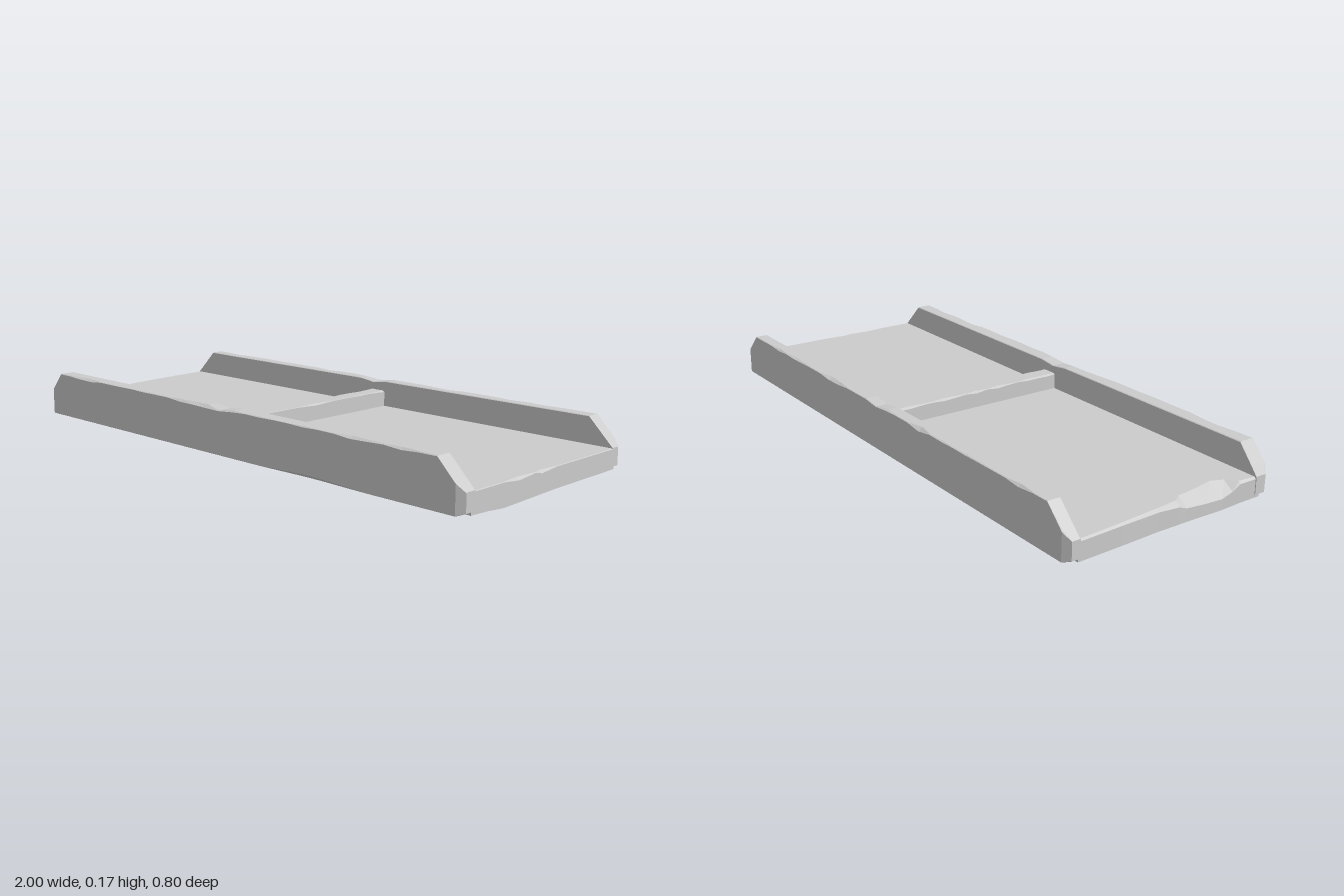
import * as THREE from 'three';

const material = new THREE.MeshStandardMaterial({ color: 0xcccccc, flatShading: true });

// Small seeded generator for the chipped edges
function seeded(seed) {
  return () => {
    seed = (seed * 16807) % 2147483647;
    return seed / 2147483647;
  };
}

// Closed solid through a row of equal-count cross-sections ([x, y, z] corners)
function loft(name, sections) {
  const n = sections[0].length;
  const tris = [];
  for (let i = 0; i < sections.length - 1; i++) {
    const a = sections[i], b = sections[i + 1];
    for (let j = 0; j < n; j++) {
      const k = (j + 1) % n;
      tris.push([a[j], b[j], b[k]], [a[j], b[k], a[k]]);
    }
  }
  const first = sections[0], last = sections[sections.length - 1];
  for (let j = 1; j < n - 1; j++) {
    tris.push([first[0], first[j], first[j + 1]], [last[0], last[j + 1], last[j]]);
  }
  // Turn the faces outward if the solid came out inside out
  const v = (p) => new THREE.Vector3(...p);
  const volume = tris.reduce((s, [a, b, c]) => s + v(a).dot(v(b).cross(v(c))), 0);
  if (volume < 0) tris.forEach((t) => t.reverse());
  const geometry = new THREE.BufferGeometry();
  geometry.setAttribute('position', new THREE.Float32BufferAttribute(tris.flat(2), 3));
  geometry.computeVertexNormals();
  const mesh = new THREE.Mesh(geometry, material);
  mesh.name = name;
  return mesh;
}

// Side wall: sloped ends, trimmed corners and a chipped outer top edge
function sideWall(name, side, inner, outer, startX, seed) {
  const random = seeded(seed);
  const stations = [-1, -0.975, -0.91];
  for (let i = 1; i < 28; i++) stations.push(-0.91 + (i * 1.82) / 28);
  stations.push(0.91, 0.975, 1);
  const sections = stations.map((x) => {
    const end = Math.abs(x);
    const middle = end < 0.9;
    const notch = Math.abs(x) < 0.04 ? 0.008 : 0;
    const top = Math.min(0.167, 0.078 + (1 - end) * 0.99) - notch;
    const out = end > 0.99 ? outer - 0.016 : outer;
    const bottom = end > 0.99 ? 0.018 : 0.009;
    const chip = middle && random() > 0.45 ? 0.004 + random() * 0.014 : 0.003;
    const drop = chip * (0.3 + random() * 0.4);
    // Shallow break along the lower front edge
    const lower = side > 0 && x > 0.2 && x < 0.6 ? 0.01 * (1 - Math.abs(x - 0.42) / 0.25) : 0.001;
    const px = x < -0.9 ? Math.max(x, startX + (x + 1) * 0.8) : x;
    return [
      [px, bottom, side * inner],
      [px, top - 0.002, side * inner],
      [px, top, side * (inner + 0.003)],
      [px, top, side * (out - chip)],
      [px, top - drop, side * out],
      [px, bottom + lower, side * out],
      [px, bottom, side * (out - lower)],
    ];
  });
  return loft(name, sections);
}

// Floor slab, one station per row: z, upper edge x, lip x, lip y, bottom y
function floorSlab() {
  const rows = [
    [-0.36, -0.995, -1.0, 0.070, 0.009],
    [-0.20, -0.985, -0.993, 0.070, 0.008],
    [-0.05, -0.973, -0.985, 0.068, 0.007],
    [0.03, -0.965, -0.982, 0.060, 0.005],
    [0.06, -0.945, -0.980, 0.048, 0.004],
    [0.14, -0.935, -0.978, 0.040, 0.002],
    [0.21, -0.922, -0.976, 0.036, 0.000],
    [0.25, -0.940, -0.978, 0.050, 0.003],
    [0.28, -0.972, -0.980, 0.068, 0.006],
    [0.36, -0.978, -0.983, 0.070, 0.009],
  ];
  return loft('floorSlab', rows.map(([z, topX, lipX, lipY, bottom], i) => {
    const chip = i > 1 && i < 7 && i % 2 ? 0.009 : 0.002;
    return [
      [lipX, bottom, z],
      [lipX, lipY, z],
      [topX, 0.076, z],
      [1 - chip, 0.076, z],
      [1, 0.076 - chip, z],
      [1, bottom, z],
    ];
  }));
}

// Low divider across the middle, with worn upper edges
function crossbar() {
  const random = seeded(91);
  const sections = [];
  for (let i = 0; i <= 16; i++) {
    const z = -0.36 + (i * 0.72) / 16;
    const a = random() > 0.5 ? 0.003 + random() * 0.009 : 0.002;
    const b = random() > 0.6 ? 0.003 + random() * 0.007 : 0.002;
    sections.push([
      [-0.01, 0.06, z],
      [-0.01, 0.132 - a * 0.6, z],
      [-0.01 + a, 0.132, z],
      [0.052 - b, 0.132, z],
      [0.052, 0.132 - b * 0.6, z],
      [0.052, 0.06, z],
    ]);
  }
  return loft('crossbar', sections);
}

export function createModel() {
  const model = new THREE.Group();
  model.name = 'stoneTrough';
  model.add(
    floorSlab(),
    sideWall('frontWall', 1, 0.342, 0.397, -0.985, 17),
    sideWall('backWall', -1, 0.352, 0.398, -1, 53),
    crossbar(),
  );
  return model;
}
